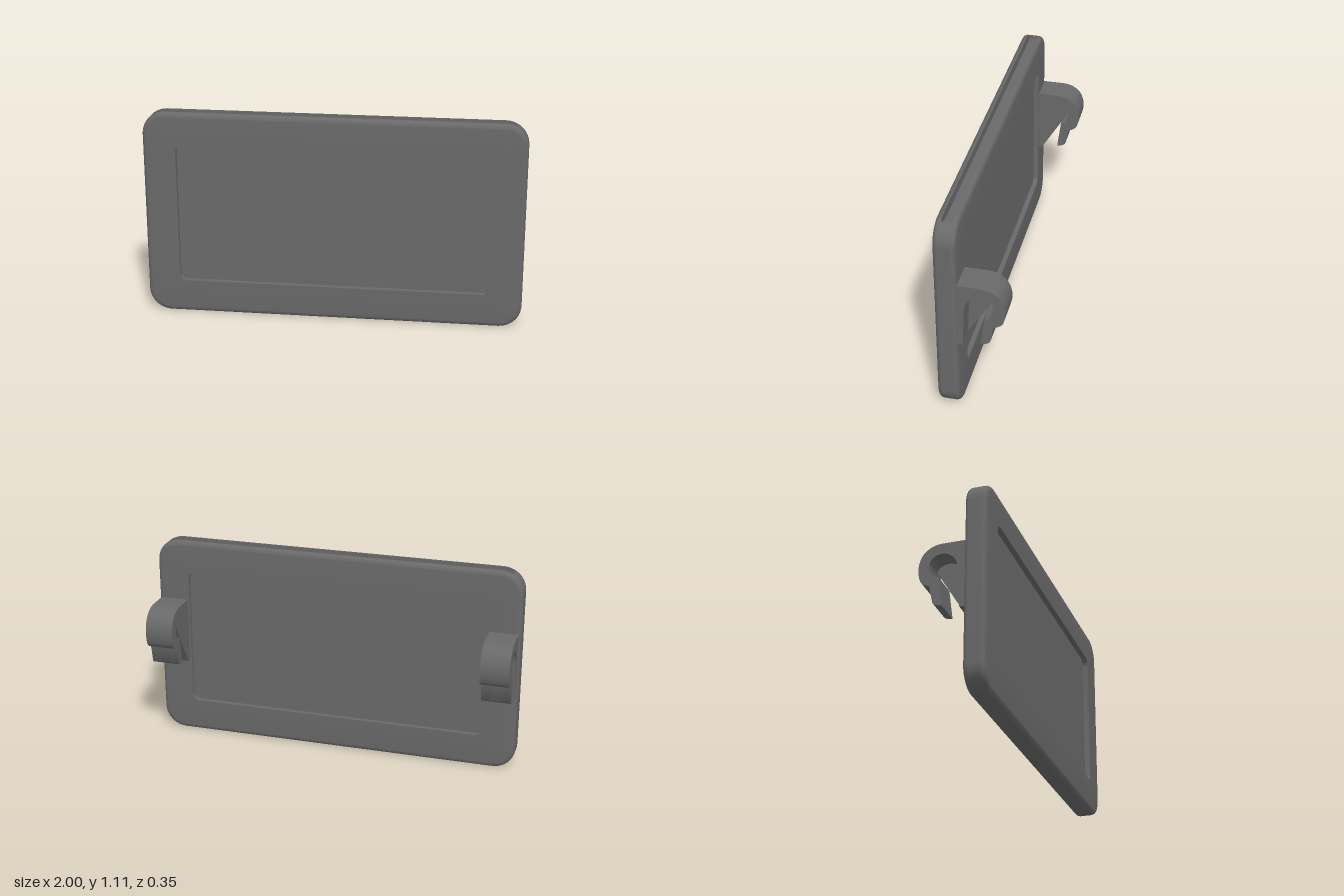
import * as THREE from 'three';
import { toCreasedNormals } from 'three/addons/utils/BufferGeometryUtils.js';

const H = 1.11, R = 0.12;                 // frame height and corner radius
const BACK = 0.062, FRONT = 0.174;        // outer faces of the frame
const SLOT_BACK = 0.088, SLOT_FRONT = 0.144;
const BEVEL = 0.025;

const material = new THREE.MeshStandardMaterial({ color: 0x696969 });

function addMesh(parent, name, geometry) {
  const mesh = new THREE.Mesh(toCreasedNormals(geometry, 0.6), material);
  mesh.name = name;
  parent.add(mesh);
  return mesh;
}

// Rounded rectangle as a counter-clockwise ring of points at depth z
function ring(halfW, y0, y1, r, z, steps = 10) {
  const centres = [[halfW - r, y1 - r], [-halfW + r, y1 - r], [-halfW + r, y0 + r], [halfW - r, y0 + r]];
  const points = [];
  centres.forEach(([cx, cy], corner) => {
    for (let i = 0; i <= steps; i++) {
      const a = (corner + i / steps) * Math.PI / 2;
      points.push(new THREE.Vector3(cx + r * Math.cos(a), cy + r * Math.sin(a), z));
    }
  });
  return points;
}

const outerRing = (inset, z) => ring(1 - inset, inset, H - inset, R - inset, z);
const windowRing = (z) => ring(0.825, 0.18, 0.938, 0.04, z);

// Skin a closed series of rings
function loft(rings) {
  const n = rings[0].length, position = [], index = [];
  rings.forEach((points) => points.forEach((p) => position.push(p.x, p.y, p.z)));
  for (let k = 0; k < rings.length; k++) {
    const a = k * n, b = ((k + 1) % rings.length) * n;
    for (let i = 0; i < n; i++) {
      const j = (i + 1) % n;
      index.push(a + i, a + j, b + j, a + i, b + j, b + i);
    }
  }
  const geometry = new THREE.BufferGeometry();
  geometry.setAttribute('position', new THREE.Float32BufferAttribute(position, 3));
  geometry.setIndex(index);
  return geometry;
}

// Quarter-round edge rings, from the side wall to the face
function edgeRings(faceZ, direction) {
  const rings = [];
  for (let i = 0; i <= 6; i++) {
    const a = (i / 6) * Math.PI / 2;
    rings.push(outerRing(BEVEL * (1 - Math.cos(a)), faceZ - direction * BEVEL * (1 - Math.sin(a))));
  }
  return rings;
}

// U-shaped core of the frame, open at the top for the sliding panel
function coreGeometry() {
  const left = -0.942, right = 0.93, floor = 0.1, c = 1 - R;
  const s = new THREE.Shape();
  s.moveTo(1, R);
  s.absarc(c, H - R, R, 0, Math.acos((right - c) / R), false);
  s.lineTo(right, floor);
  s.lineTo(left, floor);
  s.absarc(-c, H - R, R, Math.acos((left + c) / R), Math.PI, false);
  s.absarc(-c, R, R, Math.PI, Math.PI * 1.5, false);
  s.absarc(c, R, R, Math.PI * 1.5, Math.PI * 2, false);
  const g = new THREE.ExtrudeGeometry(s, { depth: SLOT_FRONT - SLOT_BACK, bevelEnabled: false, curveSegments: 10 });
  return g.translate(0, 0, SLOT_BACK);
}

// Hook profile drawn sideways: first axis points backwards, second up.
// The ribbed profile fills the arch with a triangular web.
function hookGeometry(x0, x1, ribbed) {
  const s = new THREE.Shape();
  s.moveTo(-0.065, 0.423);
  s.lineTo(-0.04, 0.423);
  if (!ribbed) {
    s.lineTo(-0.03, 0.63);
    s.bezierCurveTo(-0.025, 0.7, 0.02, 0.724, 0.06, 0.722);
    s.quadraticCurveTo(0.1, 0.718, 0.115, 0.68);
  } else {
    s.lineTo(0.115, 0.68);
  }
  s.quadraticCurveTo(0.121, 0.645, 0.113, 0.625);
  s.quadraticCurveTo(0.105, 0.604, 0.07, 0.6);
  s.lineTo(0.05, 0.445);
  s.quadraticCurveTo(0.085, 0.446, 0.097, 0.465);
  s.lineTo(0.115, 0.557);
  s.quadraticCurveTo(0.152, 0.567, 0.162, 0.59);
  s.bezierCurveTo(0.18, 0.64, 0.175, 0.692, 0.15, 0.73);
  s.bezierCurveTo(0.127, 0.762, 0.09, 0.777, 0.055, 0.778);
  s.lineTo(-0.065, 0.778);
  const g = new THREE.ExtrudeGeometry(s, { depth: x1 - x0, bevelEnabled: false, curveSegments: 12 });
  return g.rotateY(Math.PI / 2).translate(x0, 0, 0);
}

export function createModel() {
  const model = new THREE.Group();
  model.name = 'hangingFrame';

  // Frame: front plate, back plate and the slotted core between them
  const frame = new THREE.Group();
  frame.name = 'frame';
  model.add(frame);
  addMesh(frame, 'frontPlate', loft([
    outerRing(0, SLOT_FRONT), ...edgeRings(FRONT, 1), windowRing(FRONT), windowRing(SLOT_FRONT),
  ]));
  addMesh(frame, 'backPlate', loft([
    windowRing(SLOT_BACK), windowRing(BACK), ...edgeRings(BACK, -1).reverse(), outerRing(0, SLOT_BACK),
  ]));
  addMesh(frame, 'slottedCore', coreGeometry());

  // Panel standing in the slot
  const panel = addMesh(model, 'panel', new THREE.BoxGeometry(1.845, 0.97, 0.048));
  panel.position.set(-0.018, 0.585, 0.117);

  // Hooks on the back: an open outer arch and a ribbed inner part
  for (const side of [-1, 1]) {
    const hook = new THREE.Group();
    hook.name = side > 0 ? 'leftHook' : 'rightHook';
    const inner = 0.835, split = 0.885, outer = 0.987;
    const span = (a, b) => (side > 0 ? [a, b] : [-b, -a]);
    addMesh(hook, 'hookArch', hookGeometry(...span(split, outer), false));
    addMesh(hook, 'hookRib', hookGeometry(...span(inner, split), true));
    model.add(hook);
  }
  return model;
}
